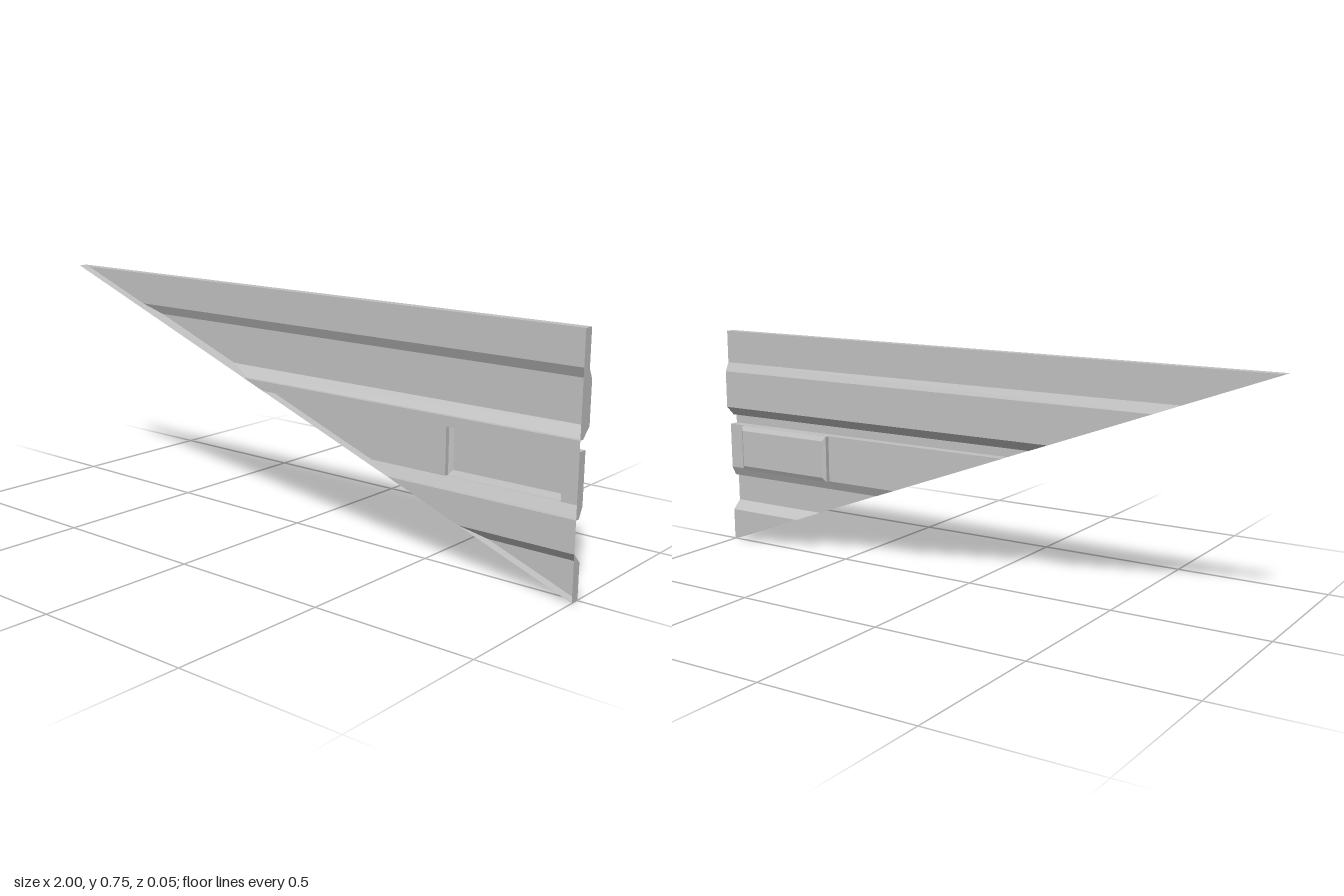
import * as THREE from 'three';

const TOP = 0.747;
const FRONT = 0.0275;
const END = 1;

// Corrugated section as [y, z], from the bottom corner up to the top lip
const PROFILE = [
  [0, -0.003], [0.108, -0.003], [0.138, FRONT],
  [0.233, FRONT], [0.233, 0.013], [0.264, -0.003],
  [0.419, -0.003], [0.419, FRONT],
  [0.45, FRONT], [0.45, 0.013], [0.481, -0.018],
  [0.607, -0.018], [0.637, -0.003], [TOP, -0.003], [TOP, FRONT],
];

// x of the slanted edge at height y
const slant = (y) => 1 - (2 * y) / TOP;

// Flat-shaded mesh from a list of quads, corners counter-clockwise
function quadMesh(name, quads, material) {
  const pos = [];
  for (const [a, b, c, d] of quads) pos.push(...a, ...b, ...c, ...a, ...c, ...d);
  const geo = new THREE.BufferGeometry();
  geo.setAttribute('position', new THREE.Float32BufferAttribute(pos, 3));
  geo.computeVertexNormals();
  const mesh = new THREE.Mesh(geo, material);
  mesh.name = name;
  return mesh;
}

export function createModel() {
  const group = new THREE.Group();
  group.name = 'triangularPanel';
  const grey = new THREE.MeshStandardMaterial({ color: 0xc0c0c0, side: THREE.DoubleSide });
  grey.name = 'panel grey';

  const win = { x0: 0.56, x1: 0.935, y0: 0.264, y1: 0.419 };
  const sheet = [], edge = [], cap = [];
  for (let i = 0; i < PROFILE.length - 1; i++) {
    const [y0, z0] = PROFILE[i];
    const [y1, z1] = PROFILE[i + 1];
    const strip = (l0, l1, r) =>
      sheet.push([[l0, y0, z0], [r, y0, z0], [r, y1, z1], [l1, y1, z1]]);

    // Leave the recess opening in its strip
    if (y0 === win.y0 && y1 === win.y1) {
      strip(slant(y0), slant(y1), win.x0);
      strip(win.x1, win.x1, END);
    } else {
      strip(slant(y0), slant(y1), END);
    }

    // Side walls fill the depth between the sheet and the front plane
    if (y1 > y0 && (z0 < FRONT || z1 < FRONT)) {
      const [s0, s1] = [slant(y0), slant(y1)];
      edge.push([[s0, y0, z0], [s0, y0, FRONT], [s1, y1, FRONT], [s1, y1, z1]]);
      cap.push([[END, y0, FRONT], [END, y0, z0], [END, y1, z1], [END, y1, FRONT]]);
    }
  }
  group.add(quadMesh('corrugatedSheet', sheet, grey));
  group.add(quadMesh('slantedEdge', edge, grey));
  group.add(quadMesh('endCap', cap, grey));

  // Recessed rectangular tray with a bevelled floor
  const ring = (dx, dy, z) => [
    [win.x0 + dx, win.y0 + dy, z], [win.x1 - dx, win.y0 + dy, z],
    [win.x1 - dx, win.y1 - dy, z], [win.x0 + dx, win.y1 - dy, z],
  ];
  const rings = [ring(0, 0, -0.003), ring(0, 0, -0.018), ring(0.012, 0.015, -0.0265)];
  const tray = [rings[2]];
  for (let r = 0; r < 2; r++) {
    for (let i = 0; i < 4; i++) {
      const j = (i + 1) % 4;
      tray.push([rings[r][i], rings[r][j], rings[r + 1][j], rings[r + 1][i]]);
    }
  }
  group.add(quadMesh('recessTray', tray, grey));
  return group;
}
